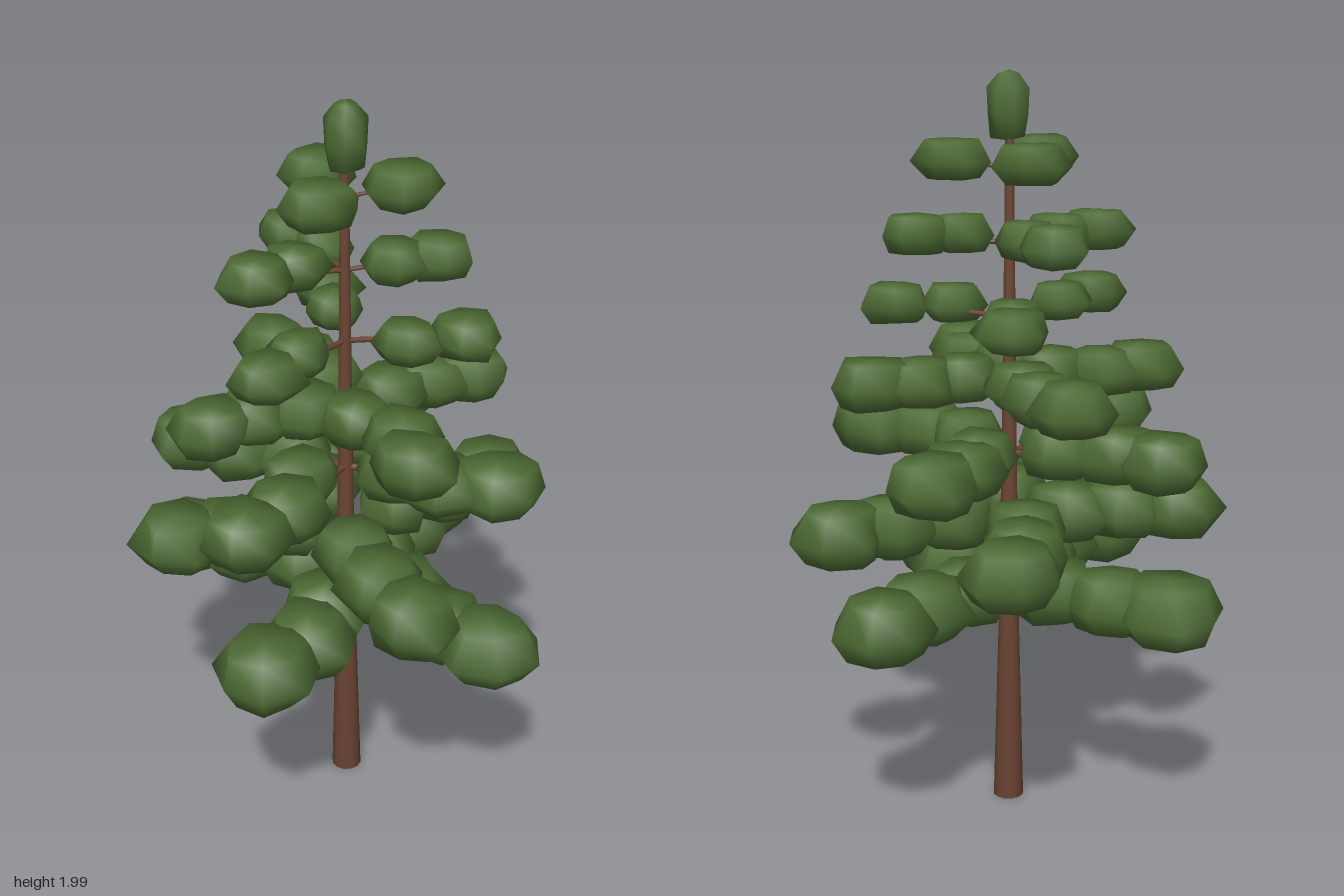
import * as THREE from 'three';
import { mergeVertices } from 'three/addons/utils/BufferGeometryUtils.js';

// Tiers: height, pad half height, pad radius, pads per branch, branch ends [x, z]
const TIERS = [
  { y: 0.655, h: 0.084, r: 0.134, n: 3, ends: [[-0.03, 0.49], [0.48, -0.1], [-0.48, 0.12], [-0.14, -0.49]] },
  { y: 0.838, h: 0.078, r: 0.126, n: 3, ends: [[0.45, 0.12], [-0.27, 0.43], [-0.38, -0.28], [0.32, -0.4]] },
  { y: 1.022, h: 0.071, r: 0.12, n: 3, ends: [[0.38, -0.17], [-0.47, 0.06], [0.13, 0.38], [-0.19, -0.41]] },
  { y: 1.208, h: 0.064, r: 0.112, n: 3, ends: [[-0.37, -0.15], [0.31, 0.15], [0.1, -0.38], [-0.19, 0.35]] },
  { y: 1.39, h: 0.052, r: 0.096, n: 2, ends: [[-0.34, 0.02], [0.17, 0.24], [0.19, -0.25]] },
  { y: 1.583, h: 0.053, r: 0.094, n: 2, ends: [[-0.24, -0.1], [0.17, 0.14], [0.05, -0.25]] },
  { y: 1.773, h: 0.053, r: 0.102, n: 1, ends: [[-0.14, 0.02], [0.095, 0.08], [0.035, -0.15]] },
];

const TRUNK_X = -0.012, TRUNK_Z = -0.015;

export function createModel() {
  const bark = new THREE.MeshStandardMaterial({ color: 0x6b4433 });
  const needles = new THREE.MeshStandardMaterial({ color: 0x4d6a34 });
  bark.name = 'bark';
  needles.name = 'needles';

  const tree = new THREE.Group();
  tree.name = 'pineTree';

  let seed = 17;
  const rand = (a, b) => {
    seed = (seed * 16807) % 2147483647;
    return a + (b - a) * (seed / 2147483647);
  };

  const add = (parent, name, geometry, material) => {
    const mesh = new THREE.Mesh(geometry, material);
    mesh.name = name;
    parent.add(mesh);
    return mesh;
  };

  const points = (list) => list.map(([x, y]) => new THREE.Vector2(x, y));

  // Tapered rod between two points
  const rod = (parent, name, a, b, r0, r1) => {
    const dir = b.clone().sub(a);
    const mesh = add(parent, name, new THREE.CylinderGeometry(r1, r0, dir.length(), 6), bark);
    mesh.position.copy(a).add(b).multiplyScalar(0.5);
    mesh.quaternion.setFromUnitVectors(new THREE.Vector3(0, 1, 0), dir.normalize());
  };

  // Needle clump: a seven sided lathe with an uneven outline
  const clump = (profile, low, high) => {
    const lathe = new THREE.LatheGeometry(points(profile), 7);
    lathe.deleteAttribute('uv');
    lathe.deleteAttribute('normal');
    const geometry = mergeVertices(lathe, 1e-3);
    const pos = geometry.attributes.position;
    for (let i = 0; i < pos.count; i++) {
      const k = rand(low, high);
      pos.setXYZ(i, pos.getX(i) * k, pos.getY(i) * rand(0.92, 1.02), pos.getZ(i) * k);
    }
    geometry.computeVertexNormals();
    return geometry;
  };
  const PAD = [[0, -1], [0.7, -0.93], [1, -0.1], [0.72, 0.9], [0, 1]];
  const CROWN = [[0, -1], [0.8, -0.95], [0.98, -0.3], [0.95, 0.45], [0.5, 0.86], [0, 1]];

  // Trunk, flared at the foot
  const trunk = add(tree, 'trunk', new THREE.LatheGeometry(
    points([[0, 0], [0.042, 0], [0.027, 0.57], [0.018, 1.2], [0.011, 1.86], [0, 1.86]]), 12), bark);
  trunk.position.set(TRUNK_X, 0, TRUNK_Z);

  // Bare twigs below the foliage
  for (let i = 0; i < 4; i++) {
    const a = i * Math.PI / 2 + 0.4;
    rod(tree, 'bareTwig', new THREE.Vector3(TRUNK_X, 0.545 - i * 0.008, TRUNK_Z),
      new THREE.Vector3(TRUNK_X + Math.cos(a) * 0.06, 0.55 - i * 0.01, TRUNK_Z + Math.sin(a) * 0.06),
      0.004, 0.002);
  }

  // Foliage tiers
  TIERS.forEach((t, level) => {
    const tier = new THREE.Group();
    tier.name = `foliageTier${level + 1}`;
    tree.add(tier);

    for (const [ex, ez] of t.ends) {
      const dx = ex - TRUNK_X, dz = ez - TRUNK_Z;
      const length = Math.hypot(dx, dz);
      rod(tier, 'branch', new THREE.Vector3(TRUNK_X, t.y - 0.025, TRUNK_Z),
        new THREE.Vector3(ex, t.y, ez), 0.012 - level * 0.001, 0.004);

      // Clumps along the branch, largest at the tip
      for (let i = 0; i < t.n; i++) {
        const tip = i === t.n - 1;
        const f = t.n === 1 ? 1 : THREE.MathUtils.lerp(t.n === 3 ? 0.34 : 0.52, 1, i / (t.n - 1));
        const side = tip ? 0 : rand(-0.05, 0.05);
        const size = tip ? 1 : 0.9 + 0.05 * i;
        const pad = add(tier, 'needleClump', clump(PAD, 0.86, 1.16), needles);
        pad.position.set(
          TRUNK_X + dx * f - dz / length * side,
          t.y,
          TRUNK_Z + dz * f + dx / length * side);
        pad.rotation.y = -Math.atan2(dz, dx) + rand(-0.3, 0.3);
        pad.scale.set(t.r * size * 1.04, t.h * (tip ? 1 : 0.95), t.r * size * 0.98);
      }
    }
  });

  // Crown
  const crown = add(tree, 'crown', clump(CROWN, 0.96, 1.06), needles);
  crown.position.set(-0.015, 1.91, -0.008);
  crown.scale.set(0.056, 0.09, 0.056);

  return tree;
}
